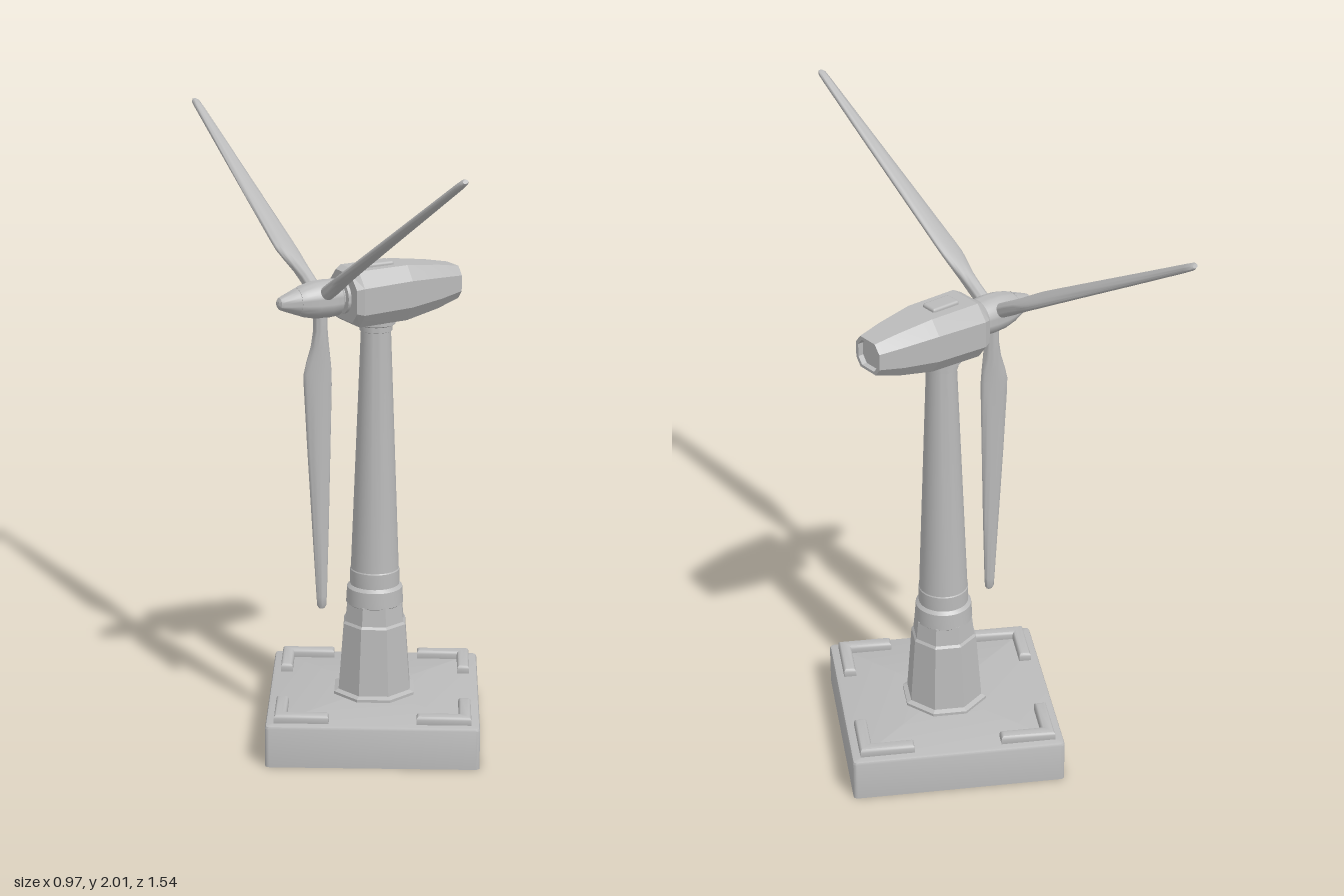
import * as THREE from 'three';
import { toCreasedNormals } from 'three/addons/utils/BufferGeometryUtils.js';
import { RoundedBoxGeometry } from 'three/addons/geometries/RoundedBoxGeometry.js';

const grey = new THREE.MeshStandardMaterial({ color: 0xbababa, side: THREE.DoubleSide });
grey.name = 'light grey';

const AXIS = [0.137, -0.095]; // tower centre in x, z
const HUB_Y = 1.48;

function part(name, geometry, parent, x = 0, y = 0, z = 0) {
  const mesh = new THREE.Mesh(geometry, grey);
  mesh.name = name;
  mesh.position.set(x, y, z);
  parent.add(mesh);
  return mesh;
}

// Skin over cross-sections; each ring runs counter-clockwise about the direction of travel.
function loft(rings, { crease = 0.5, start = true, end = true } = {}) {
  const n = rings[0].length;
  const pos = rings.flat(2);
  const index = [];
  for (let i = 0; i < rings.length - 1; i++) {
    for (let j = 0; j < n; j++) {
      const a = i * n + j, b = i * n + (j + 1) % n;
      index.push(a, b, b + n, a, b + n, a + n);
    }
  }
  const cap = (row, flip) => {
    const centre = pos.length / 3;
    for (let k = 0; k < 3; k++) pos.push(rings[row].reduce((s, p) => s + p[k], 0) / n);
    for (let j = 0; j < n; j++) {
      const a = row * n + j, b = row * n + (j + 1) % n;
      if (flip) index.push(centre, b, a);
      else index.push(centre, a, b);
    }
  };
  if (start) cap(0, true);
  if (end) cap(rings.length - 1, false);
  const g = new THREE.BufferGeometry();
  g.setAttribute('position', new THREE.Float32BufferAttribute(pos, 3));
  g.setIndex(index);
  return toCreasedNormals(g, crease);
}

const lathe = (points, segments = 40) => toCreasedNormals(
  new THREE.LatheGeometry(points.map(([r, y]) => new THREE.Vector2(r, y)), segments), 0.5);

// Rounded square ring at height y
function squareRing(half, radius, y) {
  const ring = [];
  for (let c = 0; c < 4; c++) {
    for (let s = 0; s <= 4; s++) {
      const a = (c + s / 4) * Math.PI / 2;
      const m = (c + 0.5) * Math.PI / 2, k = (half - radius) * Math.SQRT2;
      ring.push([Math.sin(m) * k + Math.sin(a) * radius, y, Math.cos(m) * k + Math.cos(a) * radius]);
    }
  }
  return ring;
}

// Octagon ring with flats facing the axes, measured to the flat
function octagonRing(flat, y) {
  const r = flat / Math.cos(Math.PI / 8);
  return Array.from({ length: 8 }, (_, i) => {
    const a = (i + 0.5) * Math.PI / 4;
    return [Math.sin(a) * r, y, Math.cos(a) * r];
  });
}

function buildBase(parent) {
  // Plinth, open underneath
  part('basePlinth', loft([
    squareRing(0.3425, 0.014, 0), squareRing(0.3425, 0.014, 0.13),
    squareRing(0.3395, 0.012, 0.137), squareRing(0.332, 0.01, 0.14),
  ], { start: false }), parent);

  // Raised L-shaped corner strips
  const b = 0.012, L = 0.175 - b, w = 0.04 - b;
  const shape = new THREE.Shape([[b, b], [L, b], [L, w], [w, w], [w, L], [b, L]]
    .map(([x, y]) => new THREE.Vector2(x, y)));
  const strip = new THREE.ExtrudeGeometry(shape, {
    depth: 0.018, bevelEnabled: true, bevelSize: b, bevelThickness: b, bevelSegments: 3,
  });
  strip.translate(-0.315, -0.315, 0);
  strip.rotateX(-Math.PI / 2);
  const smooth = toCreasedNormals(strip, 0.6);
  for (let i = 0; i < 4; i++) {
    part('cornerStrip', smooth, parent, 0, 0.138, 0).rotation.y = i * Math.PI / 2;
  }
}

function buildTower(parent) {
  part('towerFoot', loft([
    octagonRing(0.13, 0.139), octagonRing(0.13, 0.149), octagonRing(0.116, 0.156),
    octagonRing(0.1, 0.38), octagonRing(0.094, 0.388), octagonRing(0.088, 0.45),
  ], { crease: 0.3 }), parent);
  part('towerRing', lathe([
    [0.085, 0.44], [0.093, 0.447], [0.09, 0.5], [0.08, 0.51], [0.08, 0.56], [0.077, 0.565],
  ]), parent);
  part('towerShaft', lathe([[0.078, 0.56], [0.048, 1.355], [0.048, 1.4]]), parent);
  part('yawCollar', lathe([
    [0.046, 1.355], [0.052, 1.358], [0.052, 1.375], [0.062, 1.38], [0.062, 1.41],
  ]), parent);
}

function buildNacelle(parent) {
  // Sections: z, top half width, top y, side half width, upper y, lower y, bottom half width, bottom y
  const section = ([z, wt, yt, w, yu, yl, wb, yb]) => [
    [wt, yt, z], [w, yu, z], [w, yl, z], [wb, yb, z],
    [-wb, yb, z], [-w, yl, z], [-w, yu, z], [-wt, yt, z],
  ];
  part('nacelleShell', loft([
    [0.118, 0.05, 1.557, 0.09, 1.515, 1.44, 0.06, 1.405],
    [0.095, 0.06, 1.568, 0.1, 1.52, 1.435, 0.066, 1.39],
    [-0.08, 0.058, 1.57, 0.093, 1.525, 1.44, 0.058, 1.392],
    [-0.2, 0.046, 1.556, 0.075, 1.52, 1.452, 0.048, 1.415],
    [-0.28, 0.036, 1.542, 0.058, 1.515, 1.464, 0.038, 1.438],
    [-0.28, 0.028, 1.532, 0.047, 1.51, 1.469, 0.03, 1.447],
    [-0.262, 0.028, 1.532, 0.047, 1.51, 1.469, 0.03, 1.447],
  ].map(section), { crease: 0.12 }), parent);
  part('roofHatch', new RoundedBoxGeometry(0.058, 0.03, 0.1, 2, 0.008), parent, 0, 1.566, 0);
  part('shaftCollar', lathe([[0.055, 0.11], [0.055, 0.128], [0.04, 0.13], [0.04, 0.16]]),
    parent, 0, HUB_Y, 0).rotation.x = Math.PI / 2;
}

// One blade hanging down, its chord turned close to the rotor axis
function bladeGeometry() {
  const chord = [0.285, -0.96], normal = [0.96, 0.285];
  // Stations: distance, half chord, half thickness, chord offset
  const stations = [
    [0.03, 0.023, 0.023, 0], [0.1, 0.023, 0.023, 0], [0.15, 0.029, 0.021, 0.002],
    [0.2, 0.039, 0.019, 0.007], [0.24, 0.045, 0.018, 0.01], [0.28, 0.045, 0.017, 0.01],
    [0.5, 0.037, 0.015, 0.008], [0.75, 0.027, 0.013, 0.005], [0.98, 0.017, 0.011, 0.003],
    [1.01, 0.015, 0.01, 0.003], [1.02, 0.009, 0.006, 0.003],
  ];
  return loft(stations.map(([r, c, t, o]) => Array.from({ length: 20 }, (_, i) => {
    const a = i * Math.PI / 10;
    const u = Math.cos(a) * c - o, v = Math.sin(a) * t;
    return [chord[0] * u + normal[0] * v, -r, chord[1] * u + normal[1] * v];
  })), { crease: 0.9 });
}

function buildRotor(parent) {
  const rotor = new THREE.Group();
  rotor.name = 'rotor';
  rotor.position.set(0, HUB_Y, 0.2);
  rotor.rotation.z = 0.015;
  parent.add(rotor);
  part('hub', lathe([
    [0, -0.062], [0.05, -0.062], [0.058, -0.054], [0.061, -0.02], [0.059, 0.025],
    [0.05, 0.065], [0.043, 0.082], [0.04, 0.082],
  ]), rotor).rotation.x = Math.PI / 2;
  part('noseCone', lathe([
    [0.043, 0.083], [0.024, 0.132], [0.019, 0.143], [0.011, 0.149], [0, 0.151],
  ]), rotor).rotation.x = Math.PI / 2;
  const blade = bladeGeometry();
  for (let i = 0; i < 3; i++) {
    part('blade', blade, rotor).rotation.z = i * Math.PI * 2 / 3;
  }
}

export function createModel() {
  const model = new THREE.Group();
  model.name = 'windTurbine';
  const ground = new THREE.Group();
  ground.name = 'baseAndTower';
  ground.position.set(AXIS[0], 0, AXIS[1]);
  buildBase(ground);
  buildTower(ground);
  // Head turned sideways on the tower
  const head = new THREE.Group();
  head.name = 'turbineHead';
  head.position.copy(ground.position);
  head.rotation.y = -Math.PI / 3;
  buildNacelle(head);
  buildRotor(head);
  model.add(ground, head);
  return model;
}
